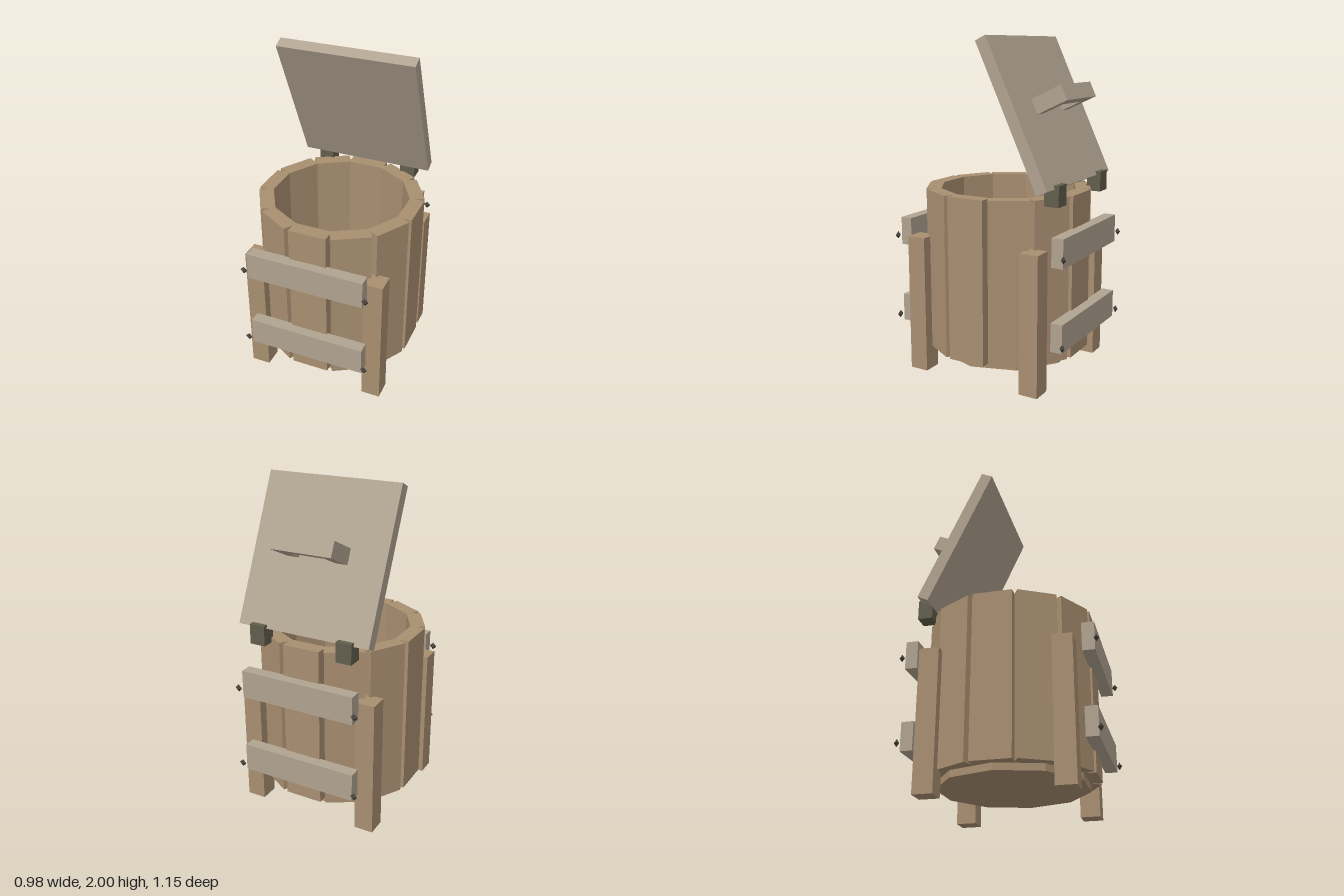
import * as THREE from 'three';

const mat = (name, color) => {
  const m = new THREE.MeshStandardMaterial({ color });
  m.name = name;
  return m;
};

export function createModel() {
  const model = new THREE.Group();
  model.name = 'barrelBin';
  const wood = mat('brown wood', 0xa88e70);
  const plank = mat('grey wood', 0xb0a390);
  const iron = mat('dark iron', 0x615e4c);
  const nailIron = mat('nail iron', 0x47433c);

  const add = (parent, name, geometry, material, x, y, z) => {
    const mesh = new THREE.Mesh(geometry, material);
    mesh.name = name;
    mesh.position.set(x, y, z);
    parent.add(mesh);
    return mesh;
  };
  const box = (parent, name, w, h, d, material, x, y, z) =>
    add(parent, name, new THREE.BoxGeometry(w, h, d), material, x, y, z);

  // Ring of twelve staves
  const staves = new THREE.Group();
  staves.name = 'staves';
  staves.position.x = -0.002;
  model.add(staves);
  for (let i = 0; i < 12; i++) {
    const a = (i * Math.PI) / 6, r = 0.444;
    const stave = box(staves, 'stave', 0.23, 0.97, 0.088, wood, Math.sin(a) * r, 0.625, Math.cos(a) * r);
    stave.rotation.y = a;
  }

  // Ten-sided floor, corners pointing to the sides
  const floorGeo = new THREE.CylinderGeometry(0.44, 0.44, 0.09, 10).toNonIndexed();
  floorGeo.computeVertexNormals();
  add(model, 'floor', floorGeo, wood, 0, 0.145, 0).rotation.y = Math.PI / 2;

  for (const sz of [1, -1]) {
    // Corner legs
    for (const sx of [1, -1]) box(model, 'leg', 0.116, 0.83, 0.116, wood, sx * 0.379, 0.415, sz * 0.379);
    // Cross slats with a nail at each end
    for (const y of [0.347, 0.835]) {
      box(model, 'slat', 0.718, 0.168, 0.072, plank, -0.001, y, sz * 0.512 - 0.002);
    }
    for (const y of [0.305, 0.81]) {
      for (const sx of [1, -1]) {
        const nail = add(model, 'nail', new THREE.OctahedronGeometry(0.023), nailIron, sx * 0.379, y, sz * 0.56 - 0.002);
        nail.scale.z = 0.7;
      }
    }
  }

  // Hinges
  for (const sx of [1, -1]) {
    box(model, 'hinge', 0.096, 0.12, 0.088, iron, sx * 0.277 - 0.002, 1.14, -0.457);
  }

  // Open lid, leaning back, with its handle on the outer face
  const lid = new THREE.Group();
  lid.name = 'lid';
  lid.position.set(-0.002, 1.573, -0.254);
  lid.rotation.x = THREE.MathUtils.degToRad(25);
  model.add(lid);
  box(lid, 'lidBoard', 0.83, 0.9, 0.071, plank, 0, 0, 0);
  box(lid, 'handleBar', 0.382, 0.092, 0.07, plank, 0, 0.022, -0.2);
  for (const sx of [1, -1]) {
    box(lid, 'handlePost', 0.076, 0.092, 0.13, plank, sx * 0.153, 0.022, -0.1);
  }
  return model;
}
